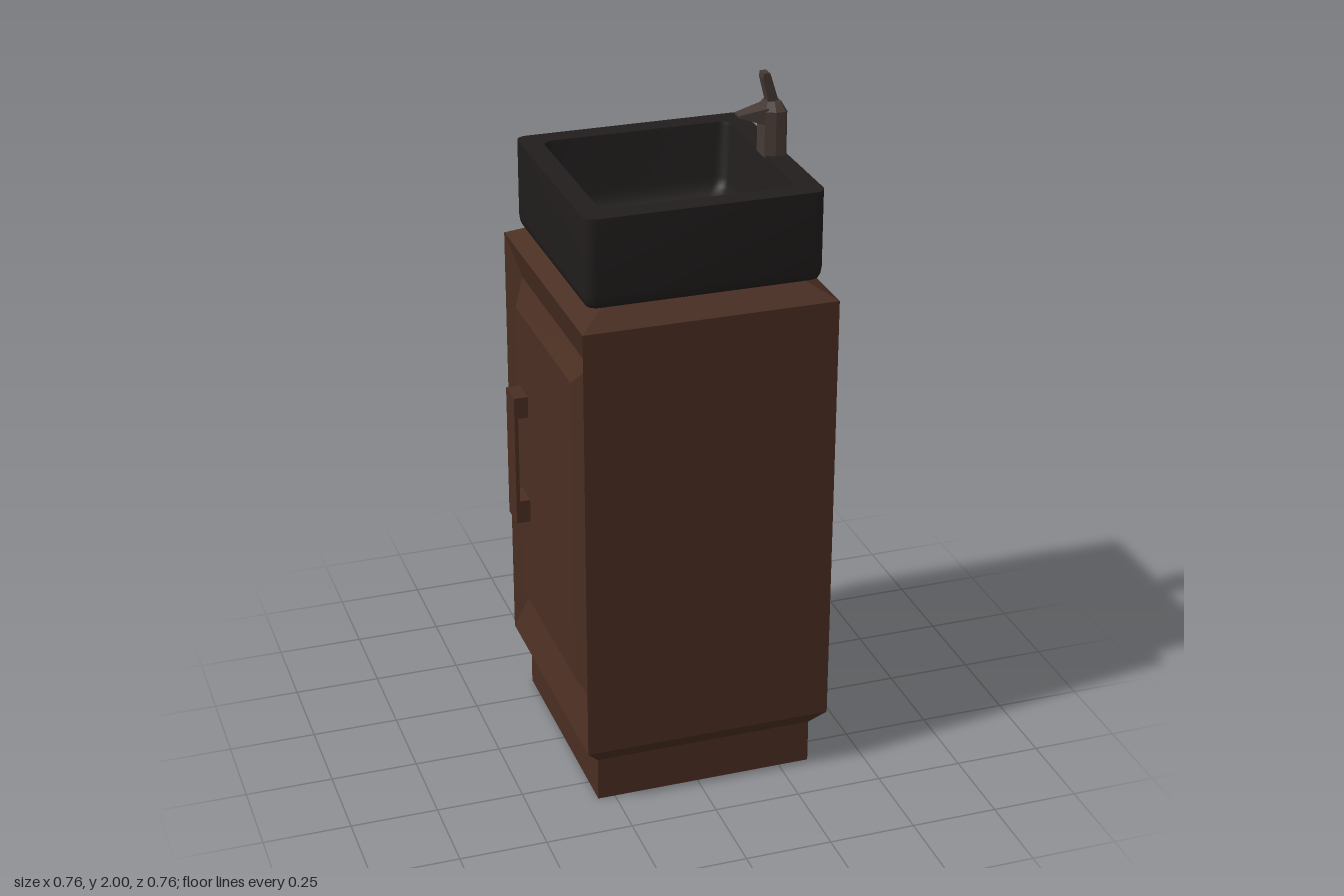
import * as THREE from 'three';
import { toCreasedNormals } from 'three/addons/utils/BufferGeometryUtils.js';

const wood = new THREE.MeshStandardMaterial({ color: 0x4a2e22 });
const stone = new THREE.MeshStandardMaterial({ color: 0x211e1d });
const metal = new THREE.MeshStandardMaterial({ color: 0x463a35 });
const red = new THREE.MeshStandardMaterial({ color: 0xe8533c });

// Rectangle at height y, optionally with rounded corners of radius r
function rect(x0, x1, z0, z1, y, r = 0, steps = 6) {
  const corners = [[x1 - r, z1 - r], [x0 + r, z1 - r], [x0 + r, z0 + r], [x1 - r, z0 + r]];
  const points = [];
  corners.forEach(([x, z], i) => {
    const count = r ? steps : 0;
    for (let k = 0; k <= count; k++) {
      const a = (i + (count ? k / count : 0)) * Math.PI / 2;
      points.push(new THREE.Vector3(x + r * Math.cos(a), y, z + r * Math.sin(a)));
    }
  });
  return points;
}

// Skin through equal-length sections, with optional end caps
function loft(sections, capStart = true, capEnd = true) {
  const out = [];
  const tri = (...vs) => vs.forEach(v => out.push(v.x, v.y, v.z));
  const n = sections[0].length;
  for (let s = 0; s < sections.length - 1; s++) {
    const a = sections[s], b = sections[s + 1];
    for (let i = 0; i < n; i++) {
      const j = (i + 1) % n;
      tri(a[i], b[i], a[j]);
      tri(a[j], b[i], b[j]);
    }
  }
  const cap = (ring, up) => {
    const c = ring.reduce((sum, p) => sum.add(p), new THREE.Vector3()).divideScalar(n);
    for (let i = 0; i < n; i++) {
      const j = (i + 1) % n;
      up ? tri(c, ring[j], ring[i]) : tri(c, ring[i], ring[j]);
    }
  };
  if (capStart) cap(sections[0], false);
  if (capEnd) cap(sections[sections.length - 1], true);
  const g = new THREE.BufferGeometry();
  g.setAttribute('position', new THREE.Float32BufferAttribute(out, 3));
  g.computeVertexNormals();
  return g;
}

export function createModel() {
  const model = new THREE.Group();
  const add = (name, geometry, material, parent = model) => {
    const mesh = new THREE.Mesh(geometry, material);
    mesh.name = name;
    parent.add(mesh);
    return mesh;
  };
  const box = (name, x0, x1, y0, y1, z0, z1, material, parent) =>
    add(name, new THREE.BoxGeometry(x1 - x0, y1 - y0, z1 - z0), material, parent)
      .position.set((x0 + x1) / 2, (y0 + y1) / 2, (z0 + z1) / 2);

  // Plinth flaring out to the cabinet
  add('plinth', loft([
    rect(-0.30, 0.34, -0.34, 0.34, 0),
    rect(-0.30, 0.34, -0.34, 0.34, 0.13),
    rect(-0.34, 0.38, -0.38, 0.38, 0.18),
  ], true, false), wood);

  // Cabinet lofted sideways: a grooved frame and raised door panel end on -x
  const cabinet = add('cabinetWithDoor', loft([
    rect(0.18, 1.47, -0.38, 0.38, -0.38),
    rect(0.18, 1.47, -0.38, 0.38, 0.34),
    rect(0.31, 1.35, -0.325, 0.325, 0.305),
    rect(0.37, 1.285, -0.267, 0.267, 0.342),
  ]), wood);
  cabinet.rotation.z = Math.PI / 2;

  // Sloping top under the basin
  add('cabinetTop', loft([
    rect(-0.34, 0.38, -0.38, 0.38, 1.47),
    rect(-0.25, 0.29, -0.29, 0.29, 1.52),
  ], false, true), wood);

  // Door handle: two mounts and a thin grip
  const handle = new THREE.Group();
  handle.name = 'doorHandle';
  model.add(handle);
  box('handleGrip', -0.383, -0.372, 0.65, 1.05, -0.245, -0.163, wood, handle);
  for (const [y0, y1] of [[0.65, 0.72], [0.985, 1.05]])
    box('handleMount', -0.373, -0.335, y0, y1, -0.245, -0.163, wood, handle);

  // Basin: outside, rim, then down the inside; [x half, z half, y, radius]
  const basin = [
    [0.315, 0.313, 1.512, 0.02], [0.326, 0.324, 1.518, 0.025],
    [0.332, 0.330, 1.53, 0.03], [0.335, 0.333, 1.55, 0.032],
    [0.335, 0.333, 1.77, 0.032],
    [0.274, 0.272, 1.77, 0.032], [0.272, 0.27, 1.76, 0.032],
    [0.262, 0.26, 1.61, 0.035], [0.256, 0.254, 1.585, 0.035],
    [0.243, 0.241, 1.568, 0.035], [0.222, 0.22, 1.56, 0.035],
  ].map(([hx, hz, y, r]) => rect(0.02 - hx, 0.02 + hx, -hz, hz, y, r));
  add('basin', toCreasedNormals(loft(basin), 0.7), stone);

  // Drain plug
  box('drain', 0.104, 0.19, 1.555, 1.567, -0.043, 0.043, red);
  box('drainCentre', 0.125, 0.169, 1.56, 1.57, -0.022, 0.022, red);

  // Tap
  const tap = new THREE.Group();
  tap.name = 'tap';
  model.add(tap);
  const column = (y, inset) => [
    [0.352, 0.036], [0.345, 0.043], [0.318, 0.043], [0.29, 0.03],
    [0.29, -0.03], [0.318, -0.043], [0.345, -0.043], [0.352, -0.036],
  ].map(([x, z]) => new THREE.Vector3(
    0.321 + (x - 0.321) * inset, y, z * inset));
  add('tapColumn', loft([column(1.765, 1), column(1.895, 1), column(1.92, 0.6)]), metal, tap);

  // Wedge spout pointing over the bowl
  const spout = add('tapSpout', loft([
    rect(1.855, 1.905, -0.032, 0.032, -0.30),
    rect(1.882, 1.888, -0.018, 0.018, -0.22),
  ]), metal, tap);
  spout.rotation.z = Math.PI / 2;

  // Leaning lever
  add('tapLever', loft([
    rect(0.308, 0.338, -0.017, 0.017, 1.905),
    rect(0.288, 0.313, -0.017, 0.017, 1.985),
    rect(0.29, 0.308, -0.017, 0.017, 2.0),
  ]), metal, tap);

  return model;
}
